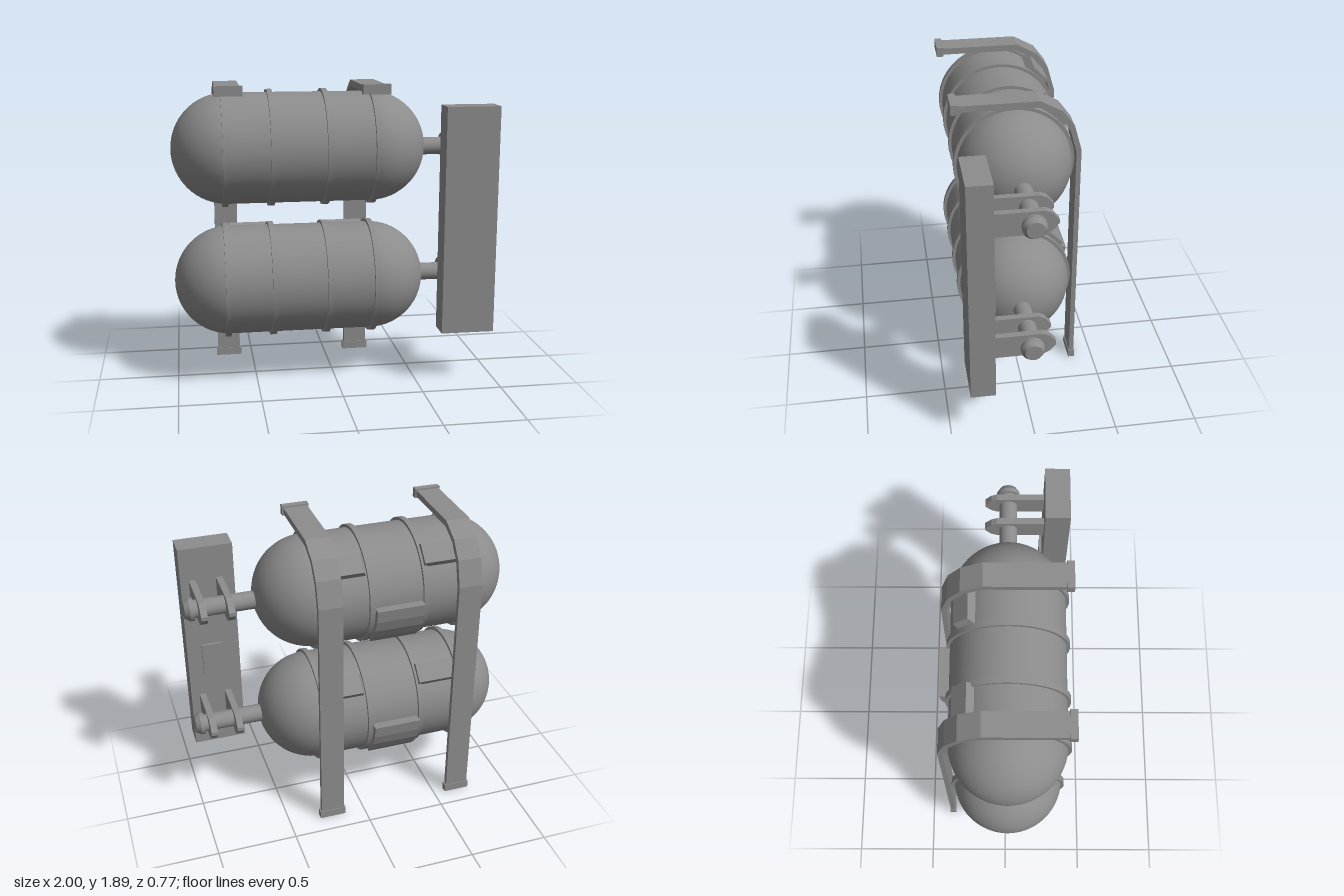
import * as THREE from 'three';
import { toCreasedNormals } from 'three/addons/utils/BufferGeometryUtils.js';

const material = new THREE.MeshStandardMaterial({ color: 0x8c8c8c });
const TANK_Z = 0.016, RADIUS = 0.343;

function add(parent, name, geometry, x = 0, y = 0, z = 0) {
  const mesh = new THREE.Mesh(geometry, material);
  mesh.name = name;
  mesh.position.set(x, y, z);
  parent.add(mesh);
  return mesh;
}

// Box given by its limits on each axis
function box(parent, name, [x0, x1], [y0, y1], [z0, z1]) {
  return add(parent, name, new THREE.BoxGeometry(x1 - x0, y1 - y0, z1 - z0),
    (x0 + x1) / 2, (y0 + y1) / 2, (z0 + z1) / 2);
}

// Outline of [z, y] points extruded along x from x0 to x1
function sideProfile(points, x0, x1) {
  const shape = new THREE.Shape(points.map(([z, y]) => new THREE.Vector2(z, y)));
  const geo = new THREE.ExtrudeGeometry(shape, { depth: x1 - x0, bevelEnabled: false });
  return geo.rotateY(-Math.PI / 2).translate(x1, 0, 0);
}

// Profile of [radius, x] points revolved around the x axis
function turned(points, segments) {
  const geo = new THREE.LatheGeometry(points.map(([r, x]) => new THREE.Vector2(r, x)), segments);
  return toCreasedNormals(geo.rotateZ(-Math.PI / 2), 0.5);
}

// Point at an elevation in degrees around the tank, measured from its back
function polar(r, degrees) {
  const a = THREE.MathUtils.degToRad(degrees);
  return [-r * Math.cos(a), r * Math.sin(a)];
}

// Pad whose outer face is cut back at the x0 end
function padGeometry(points, x0, x1) {
  const geo = sideProfile(points, x0, x1);
  const p = geo.attributes.position;
  for (let i = 0; i < p.count; i++) {
    const isOuter = Math.hypot(p.getY(i), p.getZ(i)) > 0.37;
    if (isOuter && p.getX(i) < (x0 + x1) / 2) p.setX(i, x0 + 0.025);
  }
  geo.computeVertexNormals();
  return geo;
}

function createTank(y) {
  const tank = new THREE.Group();
  tank.name = 'tank';
  tank.position.set(0, y, TANK_Z);

  const body = new THREE.CapsuleGeometry(RADIUS, 0.896, 16, 48).rotateZ(-Math.PI / 2);
  add(tank, 'tankBody', body, -0.209);

  // Raised hoops
  for (const x of [-0.677, -0.393, -0.055, 0.237]) {
    const w = 0.017, r = 0.362;
    add(tank, 'hoop', turned([[0.33, -w], [r, -w], [r, w], [0.33, w]], 48), x);
  }

  // Curved plate on the lower back
  const outer = [], inner = [];
  for (let i = 0; i <= 4; i++) {
    const a = -i * 11.5;
    outer.push(polar(0.4 - i * 0.005, a));
    inner.unshift(polar(0.33, a));
  }
  add(tank, 'backPlate', sideProfile([...outer, ...inner], -0.37, -0.07));

  // Pads on the upper back, behind the straps
  const pad = [polar(0.325, 33), polar(0.39, 36), polar(0.392, 54), polar(0.34, 57)];
  for (const [x0, x1] of [[-0.665, -0.39], [-0.038, 0.225]]) {
    add(tank, 'strapPad', padGeometry(pad, x0, x1));
  }
  return tank;
}

// Bent strap running up the back and forward over the top
function createStrap(x0, x1) {
  const strap = new THREE.Group();
  strap.name = 'strap';
  const path = [
    [-0.38, 0.02], [-0.38, 1.55], [-0.335, 1.71], [-0.26, 1.81], [-0.13, 1.88], [0.37, 1.88],
    [0.37, 1.84], [-0.125, 1.84], [-0.235, 1.785], [-0.31, 1.68], [-0.35, 1.535], [-0.35, 0.02],
  ];
  add(strap, 'strapBand', sideProfile(path, x0, x1));
  const capX = [x0 - 0.009, x1 + 0.009];
  box(strap, 'footCap', capX, [0, 0.05], [-0.385, -0.345]);
  box(strap, 'frontCap', capX, [1.83, 1.89], [0.345, 0.388]);
  return strap;
}

// Pin leaving the tank, held by two lugs on the post
function createCoupling(y) {
  const coupling = new THREE.Group();
  coupling.name = 'coupling';
  coupling.position.y = y;
  const pin = [[0, 0.54], [0.055, 0.54], [0.055, 0.945], [0.07, 0.945],
    [0.07, 0.97], [0.05, 1], [0, 1]];
  add(coupling, 'pin', turned(pin, 24), 0, 0, 0.014);
  const lug = [[0.24, -0.072], [0.24, 0.072], [-0.055, 0.072], [-0.09, 0.055],
    [-0.128, 0.012], [-0.128, -0.012], [-0.09, -0.055], [-0.055, -0.072]];
  for (const x of [0.717, 0.882]) add(coupling, 'lug', sideProfile(lug, x, x + 0.04));
  return coupling;
}

export function createModel() {
  const model = new THREE.Group();
  model.name = 'twinTankRack';

  for (const y of [0.638, 1.477]) model.add(createTank(y));
  for (const y of [0.64, 1.467]) model.add(createCoupling(y));
  model.add(createStrap(-0.731, -0.583), createStrap(0.14, 0.29));

  // Upright post with a small plate on its rear face
  box(model, 'post', [0.643, 0.975], [0.332, 1.75], [0.233, 0.382]);
  box(model, 'postPlate', [0.757, 0.882], [0.867, 1.08], [0.217, 0.24]);
  return model;
}
